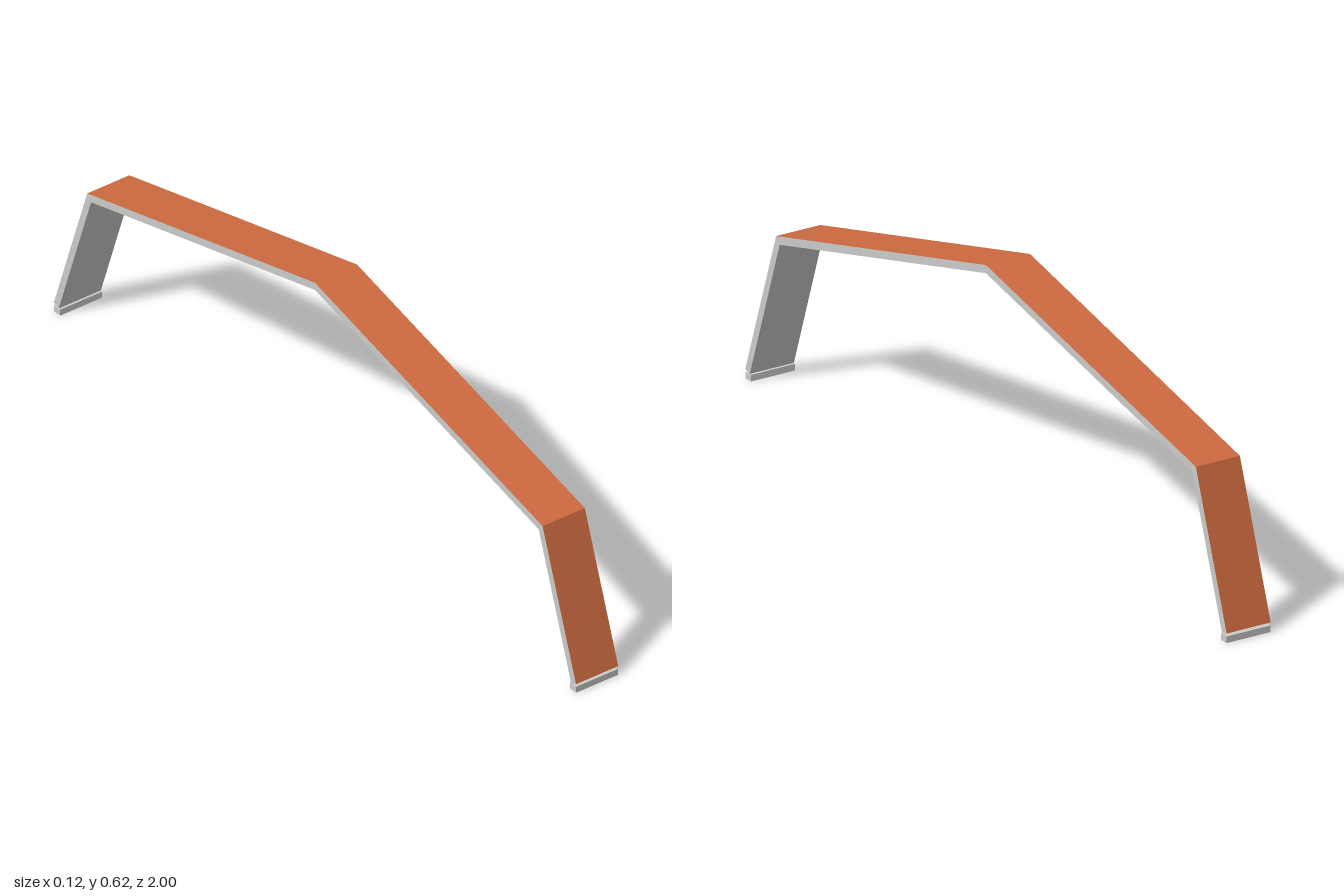
import * as THREE from 'three';

const WIDTH = 0.124;

export function createModel() {
  const model = new THREE.Group();
  model.name = 'archFrame';
  const orange = new THREE.MeshStandardMaterial({ color: 0xcf6b40 });
  orange.name = 'orange';
  const grey = new THREE.MeshStandardMaterial({ color: 0xcbcbc9 });
  grey.name = 'light grey';

  // Half profile of the bent strip as [z, y]: foot, knee, ridge
  const outer = [[1, 0.024], [0.872, 0.4], [0, 0.617]];
  const inner = [[0.981, 0.0176], [0.857, 0.383], [0, 0.5964]];
  const mirror = (side) => [...side, ...side.slice(0, 2).reverse().map(([z, y]) => [-z, y])];
  const outline = [...mirror(outer), ...mirror(inner).reverse()];

  const geometry = new THREE.ExtrudeGeometry(
    new THREE.Shape(outline.map(([z, y]) => new THREE.Vector2(z, y))),
    { depth: WIDTH, bevelEnabled: false }
  );
  geometry.translate(0, 0, -WIDTH / 2).rotateY(-Math.PI / 2);

  // Only the outer skin faces upward: it is orange, everything else grey
  geometry.clearGroups();
  const normals = geometry.getAttribute('normal');
  for (let i = 0; i < normals.count; i += 3) {
    geometry.addGroup(i, 3, normals.getY(i) > 0.1 ? 0 : 1);
  }
  const strip = new THREE.Mesh(geometry, [orange, grey]);
  strip.name = 'archStrip';
  model.add(strip);

  // Foot plates under both legs
  for (const [name, side] of [['frontFootPlate', 1], ['backFootPlate', -1]]) {
    const plate = new THREE.Mesh(new THREE.BoxGeometry(WIDTH, 0.0165, 0.024), grey);
    plate.position.set(0, 0.00825, side * 0.988);
    plate.name = name;
    model.add(plate);
  }
  return model;
}
